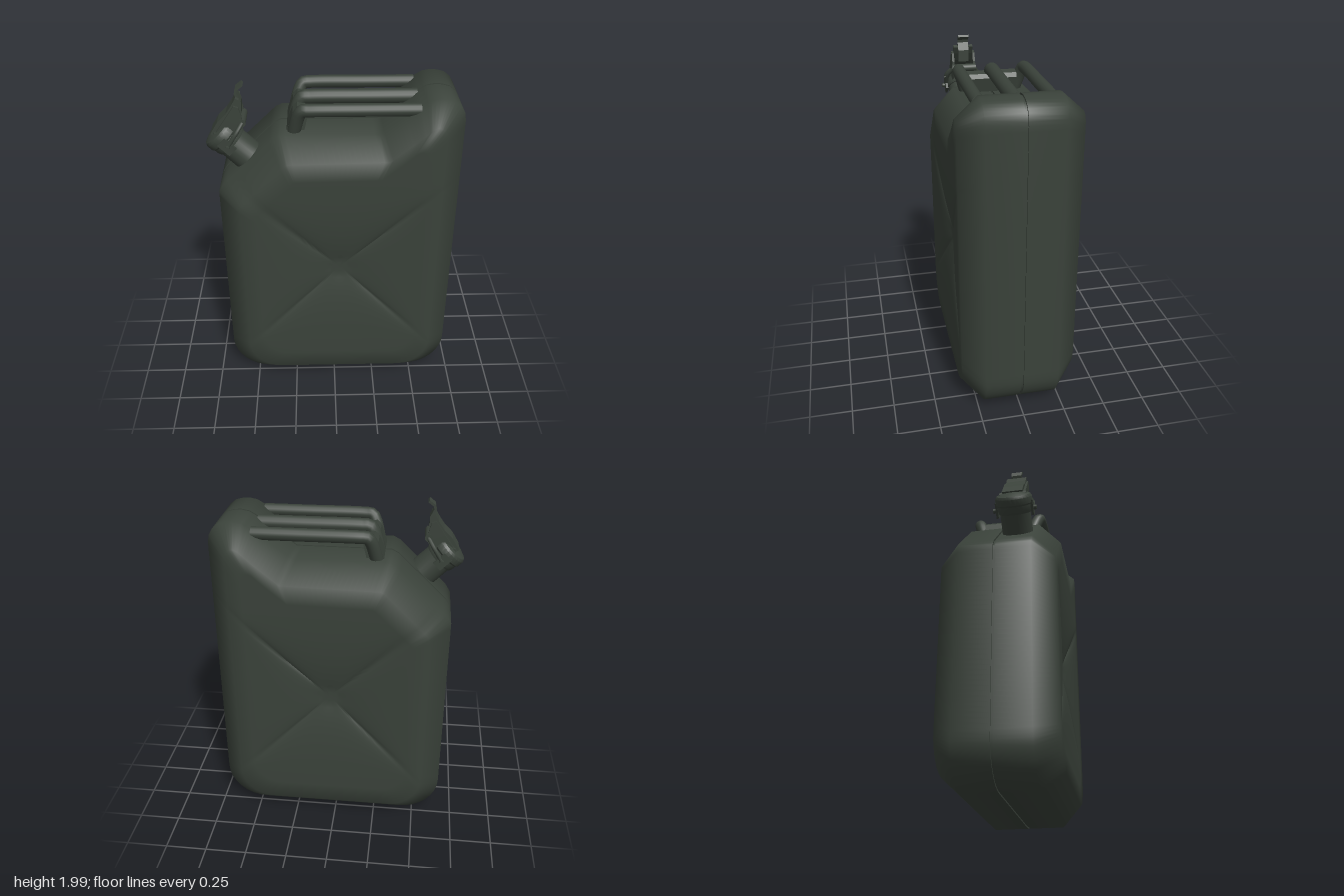
import * as THREE from 'three';
import { toCreasedNormals } from 'three/addons/utils/BufferGeometryUtils.js';

const olive = new THREE.MeshStandardMaterial({ color: 0x3a423a });
olive.name = 'dark olive paint';

const V = (x, y, z) => new THREE.Vector3(x, y, z);

function add(parent, name, geometry) {
  const mesh = new THREE.Mesh(geometry, olive);
  mesh.name = name;
  parent.add(mesh);
  return mesh;
}

function tube(parent, name, points, radius, sides = 12) {
  const curve = new THREE.CatmullRomCurve3(points, false, 'centripetal');
  return add(parent, name, new THREE.TubeGeometry(curve, points.length * 8, radius, sides));
}

// Side outline: each row is [outer x, outer y, inset x, inset y], counter-clockwise
function bodyOutline() {
  const rows = [];
  // Lower corners: the inset corner is rounder than a parallel offset
  const corner = (cx, ix, from) => {
    for (let i = 0; i <= 8; i++) {
      const a = from + (i / 8) * Math.PI / 2, c = Math.cos(a), s = Math.sin(a);
      rows.push([cx + 0.24 * c, 0.245 + 0.24 * s, ix + 0.2 * c, 0.32 + 0.2 * s]);
    }
  };
  corner(0.475, 0.398, -Math.PI / 2);
  rows.push(
    [0.715, 1.81, 0.60, 1.74], [0.707, 1.855, 0.597, 1.775], [0.685, 1.892, 0.588, 1.80],
    [0.65, 1.92, 0.575, 1.813], [0.61, 1.931, 0.56, 1.82], [0.57, 1.935, 0.545, 1.82],
    [0.52, 1.926, 0.52, 1.808], [0.46, 1.89, 0.485, 1.775], [0.40, 1.842, 0.44, 1.735],
    [0.25, 1.73, 0.30, 1.62], [-0.30, 1.73, -0.26, 1.61], [-0.34, 1.71, -0.28, 1.60],
    [-0.63, 1.43, -0.53, 1.35], [-0.66, 1.38, -0.54, 1.33]);
  corner(-0.42, -0.34, Math.PI);
  // Even subdivision of the long edges
  const fine = [];
  rows.forEach((p, i) => {
    const q = rows[(i + 1) % rows.length];
    const n = Math.max(1, Math.ceil(Math.hypot(q[0] - p[0], q[1] - p[1]) / 0.03));
    for (let k = 0; k < n; k++) fine.push(p.map((v, c) => v + (q[c] - v) * k / n));
  });
  return fine;
}

// Depth of the pressed cross: four creases run out from a small flat centre,
// and the lobes between them bulge towards it
const CX = 0.03, CY = 0.88;
function pressing(x, y) {
  const dx = x - CX, dy = y - CY;
  const lobe = Math.pow(Math.abs(Math.cos(2 * Math.atan2(dy, dx))), 0.6);
  const r = Math.max(0, Math.hypot(dx, dy) - 0.05);
  return 0.055 * Math.pow(Math.max(0, 1 - r / 0.68), 0.8 + 2.6 * lobe);
}

function bodyGeometry() {
  const outline = bodyOutline(), n = outline.length, rings = [];
  // Pressed side panel, from its centre (t = 0) to its rim (t = 1)
  const panel = (t, side) => outline.map(([, , x, y]) => {
    const px = CX + (x - CX) * t, py = CY + (y - CY) * t;
    return [px, py, side * (0.34 - pressing(px, py))];
  });
  // Band around the edge: k = 0 on the outer outline, 1 on the inset one
  const band = (k, z) => outline.map(([x, y, ix, iy]) => [x + (ix - x) * k, y + (iy - y) * k, z]);
  const steps = [0, 0.04, 0.07];
  for (let i = 2; i <= 17; i++) steps.push(i * 0.05);
  steps.push(1);
  steps.forEach(t => rings.push(panel(t, -1)));
  // Chamfers either side of the rim, with a narrow seam in the middle
  [[0, -0.215], [0, -0.007], [0.08, -0.007], [0.08, 0.007], [0, 0.007], [0, 0.215]]
    .forEach(([k, z]) => rings.push(band(k, z)));
  steps.reverse().forEach(t => rings.push(panel(t, 1)));

  const index = [];
  for (let i = 0; i < rings.length - 1; i++) {
    for (let j = 0; j < n; j++) {
      const a = i * n + j, b = i * n + (j + 1) % n;
      index.push(a, b, b + n, a, b + n, a + n);
    }
  }
  const g = new THREE.BufferGeometry();
  g.setAttribute('position', new THREE.Float32BufferAttribute(rings.flat(2), 3));
  g.setIndex(index);
  return toCreasedNormals(g, 1.0);
}

// Flat side profile extruded evenly about z = 0
function slab(points, width) {
  const shape = new THREE.Shape(points.map(p => new THREE.Vector2(...p)));
  return new THREE.ExtrudeGeometry(shape, { depth: width, bevelEnabled: false })
    .translate(0, 0, -width / 2);
}

// Bent strip that follows a path in x and y
function strip(path, width, thick) {
  const left = [], right = [];
  path.forEach(([x, y], i) => {
    const p = path[Math.max(0, i - 1)], q = path[Math.min(path.length - 1, i + 1)];
    const l = Math.hypot(q[0] - p[0], q[1] - p[1]) * 2 / thick;
    const nx = -(q[1] - p[1]) / l, ny = (q[0] - p[0]) / l;
    left.push([x + nx, y + ny]);
    right.unshift([x - nx, y - ny]);
  });
  return slab([...left, ...right], width);
}

function buildHandles() {
  const handles = new THREE.Group();
  handles.name = 'carryHandles';
  for (const z of [-0.2, 0, 0.2]) {
    const y = z ? 1.87 : 1.865;
    tube(handles, 'handleBar', [V(0.47, y, z), V(0.2, y, z), V(-0.13, y, z),
      V(-0.172, y - 0.004, z * 0.98), V(-0.193, y - 0.035, z * 0.92), V(-0.23, 1.70, z * 0.72)],
      z ? 0.037 : 0.042, 14);
  }
  // Web that joins the three bars at their feet
  add(handles, 'handleWeb', slab([[-0.272, 1.71], [-0.17, 1.71], [-0.145, 1.815],
    [-0.16, 1.84], [-0.205, 1.85], [-0.23, 1.825]], 0.30));
  return handles;
}

function buildSpout() {
  const spout = new THREE.Group();
  spout.name = 'spout';
  spout.position.z = 0.11;

  // Neck, collar and cap share one slanted axis
  const barrel = new THREE.Group();
  barrel.name = 'neckAndCap';
  barrel.position.set(-0.48, 1.55, 0);
  barrel.rotation.z = Math.PI / 4;
  spout.add(barrel);
  const turned = pts => toCreasedNormals(
    new THREE.LatheGeometry(pts.map(p => new THREE.Vector2(...p)), 28), 0.6);
  add(barrel, 'neck', turned([[0.105, -0.08], [0.092, 0], [0.09, 0.14]]));
  add(barrel, 'cap', turned([[0.08, 0.135], [0.096, 0.135], [0.102, 0.15], [0.102, 0.18],
    [0.11, 0.19], [0.11, 0.225], [0.1, 0.24], [0.06, 0.255], [0, 0.26]]));
  for (const s of [-1, 1]) {
    add(barrel, 'hingeEar', new THREE.BoxGeometry(0.06, 0.09, 0.014)).position.set(0, 0.16, s * 0.105);
  }

  // Cross pins
  for (const [x, y, r, len] of [[-0.59, 1.66, 0.014, 0.26], [-0.508, 1.79, 0.024, 0.15],
    [-0.655, 1.72, 0.014, 0.16]]) {
    const pin = add(spout, 'crossPin', new THREE.CylinderGeometry(r, r, len, 12));
    pin.rotation.x = Math.PI / 2;
    pin.position.set(x, y, 0);
  }

  // Locking lever: side cheeks, latch arms, cover plate and thumb hook
  for (const z of [-0.066, 0.066]) {
    add(spout, 'leverCheek', slab([[-0.67, 1.71], [-0.60, 1.67], [-0.54, 1.70], [-0.50, 1.77],
      [-0.505, 1.83], [-0.52, 1.88], [-0.545, 1.89], [-0.60, 1.81]], 0.014)).position.z = z;
    tube(spout, 'latchArm', [V(-0.59, 1.66, z * 1.6), V(-0.54, 1.74, z * 1.5),
      V(-0.505, 1.79, z)], 0.012, 8);
  }
  add(spout, 'leverPlate', strip([[-0.675, 1.715], [-0.635, 1.78], [-0.585, 1.83],
    [-0.55, 1.88], [-0.525, 1.925]], 0.12, 0.022));
  add(spout, 'thumbHook', strip([[-0.515, 1.83], [-0.513, 1.90], [-0.535, 1.945],
    [-0.53, 1.968], [-0.497, 1.993]], 0.065, 0.014));
  return spout;
}

export function createModel() {
  const model = new THREE.Group();
  model.name = 'fuelCan';
  add(model, 'body', bodyGeometry());
  model.add(buildHandles(), buildSpout());
  return model;
}
